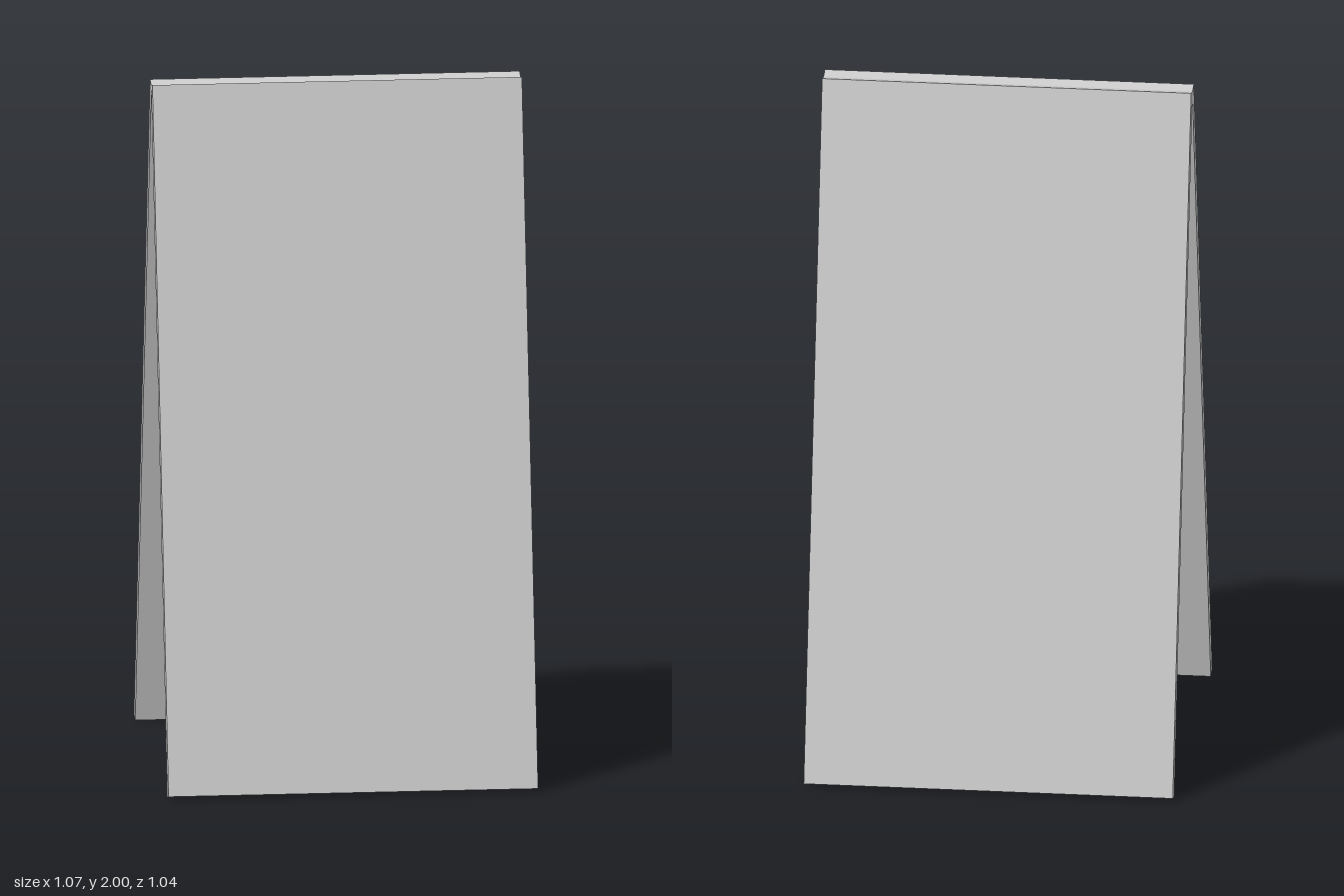
import * as THREE from 'three';

const WIDTH = 1.068, LENGTH = 2.048, THICKNESS = 0.041;
const LEAN = 0.238; // radians from vertical
const OFFSET = 0.258; // panel centre from the ridge plane

export function createModel() {
  const group = new THREE.Group();
  group.name = 'foldingBoard';
  const material = new THREE.MeshStandardMaterial({ color: 0xcccccc });
  const geometry = new THREE.BoxGeometry(WIDTH, LENGTH, THICKNESS);

  // Two flat panels leaning together and meeting at the top ridge
  for (const [name, side] of [['frontPanel', 1], ['backPanel', -1]]) {
    const panel = new THREE.Mesh(geometry, material);
    panel.name = name;
    panel.position.set(0, 1, side * OFFSET);
    panel.rotation.x = -side * LEAN;
    group.add(panel);
  }
  return group;
}
